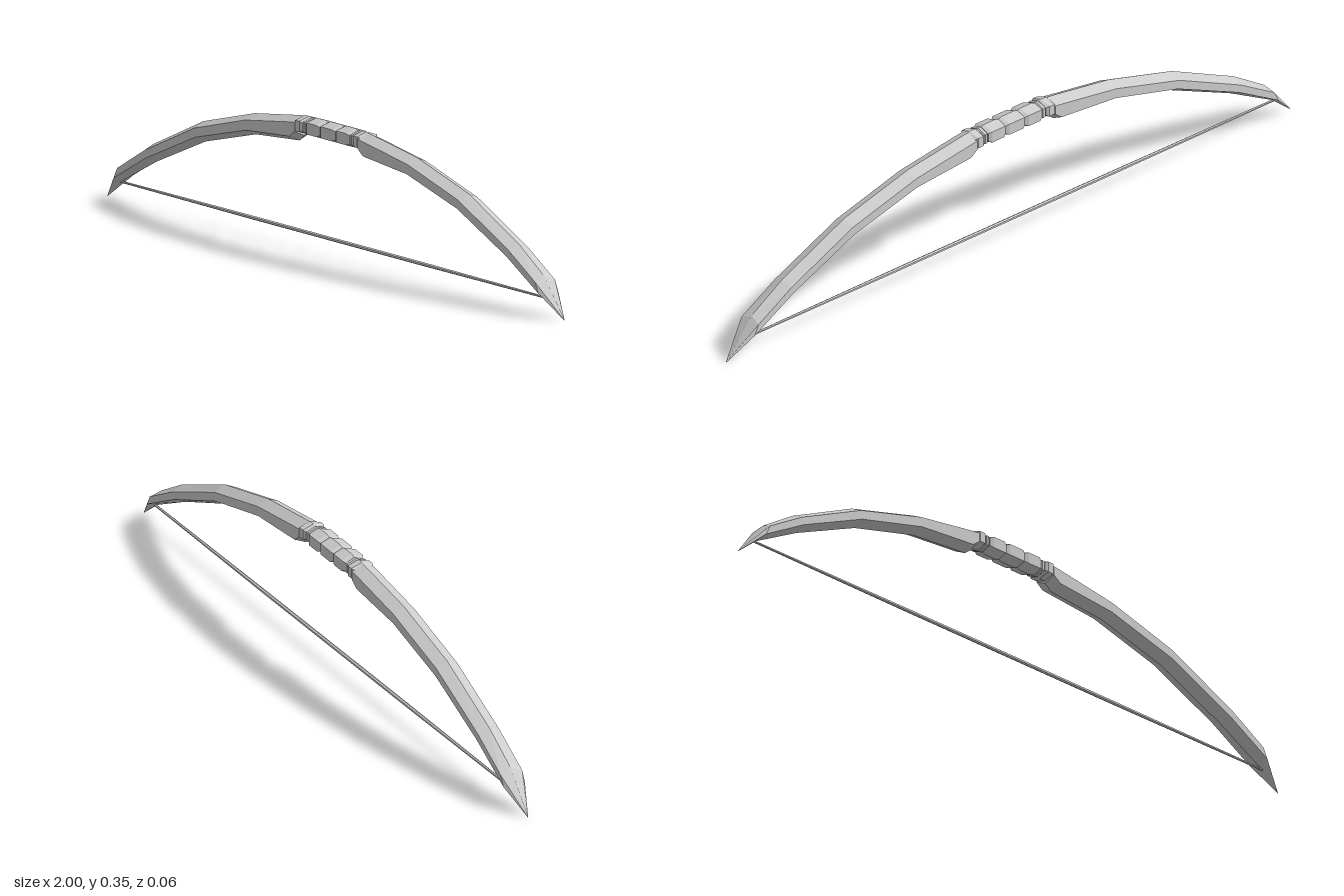
import * as THREE from 'three';

const material = new THREE.MeshStandardMaterial({ color: 0xcccccc, flatShading: true });

// Six-sided cross-section: ridge on top, two flat sides, ridge below.
// s = [top x, top y, bottom x, bottom y, half depth, bevel]
function ring([xt, yt, xb, yb, w, bevel]) {
  const h = Math.max(yt - yb, 1e-6);
  const at = (d, z) => [xt + (xb - xt) * d / h, yt - d, z];
  return [at(0, 0), at(bevel, w), at(h - bevel, w), at(h, 0), at(h - bevel, -w), at(bevel, -w)];
}

// Closed loft through sections running towards +x
function loft(name, sections) {
  const rings = sections.map(ring);
  const n = 6;
  const index = [];
  for (let s = 0; s < rings.length - 1; s++) {
    for (let i = 0; i < n; i++) {
      const j = (i + 1) % n;
      const a = s * n, b = a + n;
      index.push(a + i, a + j, b + j, a + i, b + j, b + i);
    }
  }
  const last = (rings.length - 1) * n;
  for (let i = 1; i < n - 1; i++) {
    index.push(0, i + 1, i);
    index.push(last, last + i, last + i + 1);
  }
  const indexed = new THREE.BufferGeometry();
  indexed.setAttribute('position', new THREE.Float32BufferAttribute(rings.flat(2), 3));
  indexed.setIndex(index);
  const geometry = indexed.toNonIndexed();
  geometry.computeVertexNormals();
  const mesh = new THREE.Mesh(geometry, material);
  mesh.name = name;
  return mesh;
}

// Sections reflected to the other side, still running towards +x
const mirror = (sections) =>
  sections.map(([xt, yt, xb, yb, w, b]) => [-xt, yt, -xb, yb, w, b]).reverse();

export function createModel() {
  const bow = new THREE.Group();
  bow.name = 'bow';

  // Curved limbs, each ending in a sharp tip
  const limb = [
    [0.138, 0.348, 0.138, 0.296, 0.031, 0.014],
    [0.165, 0.345, 0.16, 0.28, 0.031, 0.014],
    [0.355, 0.319, 0.35, 0.265, 0.031, 0.014],
    [0.58, 0.262, 0.57, 0.211, 0.031, 0.014],
    [0.8, 0.167, 0.785, 0.124, 0.031, 0.012],
    [0.908, 0.103, 0.935, 0.05, 0.031, 0.013],
    [1, 0.002, 1, 0, 0.0005, 0.0005],
  ];
  bow.add(loft('leftLimb', limb), loft('rightLimb', mirror(limb)));

  // Wrapped grip: [start x, end x, half height, half depth] of each band
  const bands = [
    [-0.034, 0.034, 0.025, 0.031],
    [0.034, 0.095, 0.025, 0.031],
    [0.095, 0.11, 0.023, 0.027],
    [0.11, 0.142, 0.024, 0.031],
  ];
  const grip = new THREE.Group();
  grip.name = 'grip';
  bands.forEach(([x0, x1, h, w], k) => {
    const bevel = Math.min(0.01, (x1 - x0) * 0.22);
    const section = (x, f) => [x, 0.326 + h * f, x, 0.326 - h * f, w * f, 0.01];
    const band = [section(x0, 0.84), section(x0 + bevel, 1), section(x1 - bevel, 1), section(x1, 0.84)];
    grip.add(loft('gripBand', band));
    if (k > 0) grip.add(loft('gripBand', mirror(band)));
  });
  bow.add(grip);

  // Taut string, slightly thicker in the middle
  const string = [[-0.945, 0.003], [-0.37, 0.005], [0.37, 0.005], [0.945, 0.003]];
  bow.add(loft('bowString', string.map(([x, r]) => [x, 0.047 + r, x, 0.047 - r, r, r * 0.5])));

  return bow;
}
